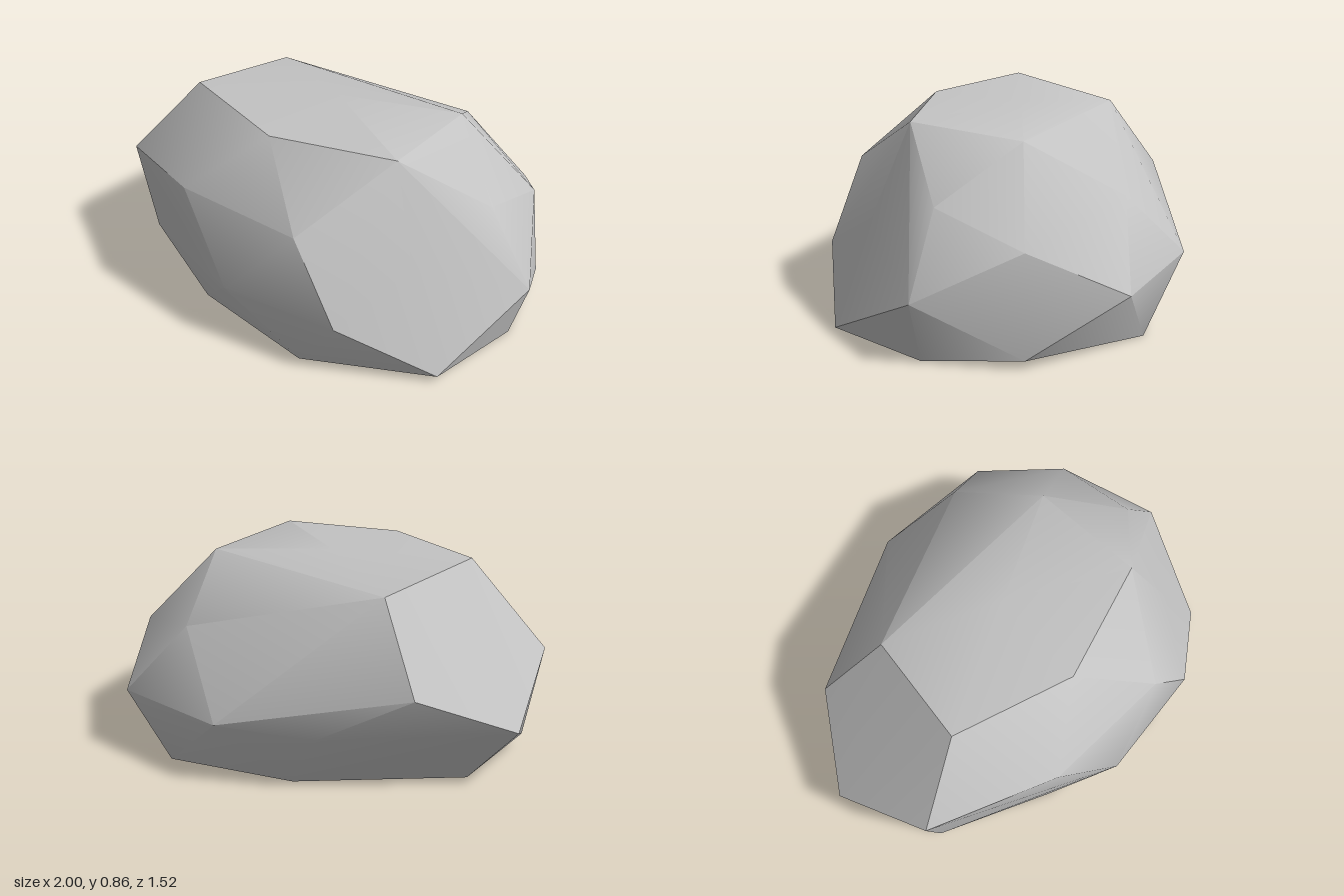
import * as THREE from 'three';
import { ConvexGeometry } from 'three/addons/geometries/ConvexGeometry.js';
import { toCreasedNormals } from 'three/addons/utils/BufferGeometryUtils.js';

// Corners of the boulder, ring by ring from the ground up
const rings = [
  // flat underside
  [[0.92, 0, 0], [0.31, 0, 0.68], [-0.28, 0, 0.6], [-0.77, 0, -0.02],
    [-0.5, 0, -0.28], [-0.24, 0, -0.53], [0.31, 0, -0.71]],
  // low corners just above the ground
  [[0.85, 0.03, 0.45], [-0.77, 0.06, 0.4], [0.82, 0.04, -0.41]],
  // widest girdle
  [[1, 0.27, 0], [0.5, 0.26, 0.69], [-0.02, 0.27, 0.76], [-1, 0.26, 0],
    [-0.39, 0.24, -0.56], [-0.02, 0.27, -0.765], [0.55, 0.27, -0.74]],
  // shoulders
  [[0.66, 0.45, 0.38], [-0.85, 0.48, 0.42], [-0.74, 0.44, -0.36], [0.78, 0.47, -0.39],
    [0.79, 0.6, 0], [0.28, 0.6, 0.66], [-0.31, 0.6, 0.66], [0.29, 0.59, -0.61]],
  // crown
  [[-0.55, 0.855, 0.28], [-0.02, 0.855, 0.44], [0.5, 0.85, 0.27], [0.48, 0.82, -0.24],
    [-0.48, 0.785, -0.23], [0, 0.855, 0]],
];

export function createModel() {
  const group = new THREE.Group();
  group.name = 'boulder';
  const stone = new THREE.MeshStandardMaterial({ color: 0xc3c3c3 });
  stone.name = 'grey stone';

  // Convex rock: shallow facets blend, strong edges stay sharp
  const corners = rings.flat().map((p) => new THREE.Vector3(...p));
  const geometry = toCreasedNormals(new ConvexGeometry(corners), THREE.MathUtils.degToRad(36));
  const rock = new THREE.Mesh(geometry, stone);
  rock.name = 'rock';
  group.add(rock);
  return group;
}
